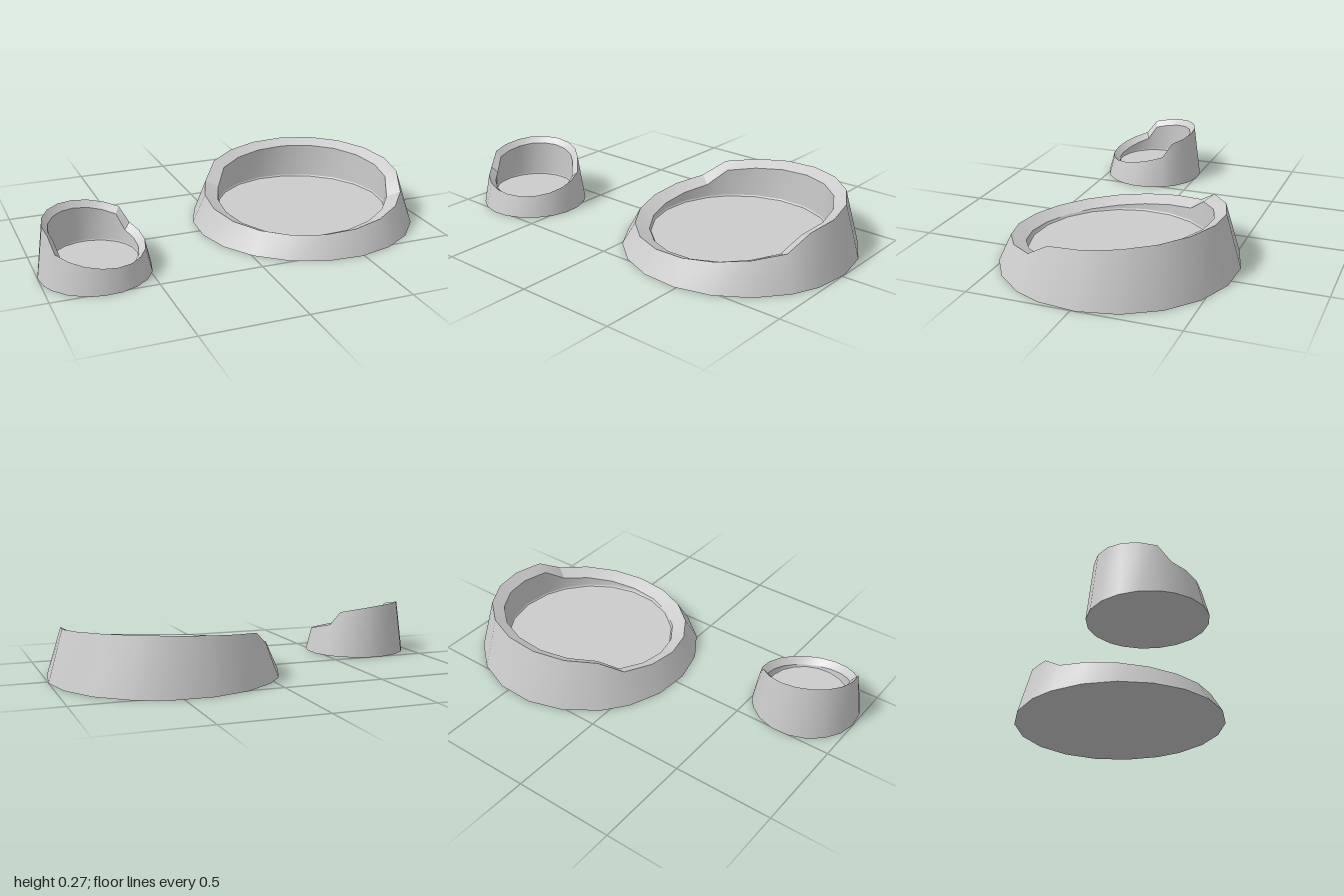
import * as THREE from 'three';
import { toCreasedNormals } from 'three/addons/utils/BufferGeometryUtils.js';

const SIDES = 20;
const rad = THREE.MathUtils.degToRad;

// Side 0 points to the middle of the high rim; the high part spans four sides each way
const isHigh = (k) => Math.abs(k) <= 4;
const angle = (k) => rad(k * (isHigh(k) ? 19 : 18));

// One loop of points; radius and height are functions of the signed side number
function ring(dir, radius, height) {
  return Array.from({ length: SIDES }, (_, i) => {
    const k = i - SIDES / 2;
    const a = dir + angle(k);
    return [Math.cos(a) * radius(k), height(k), -Math.sin(a) * radius(k)];
  });
}

// Closed band of quads between two loops
function band(a, b) {
  const index = [];
  for (let k = 0; k < SIDES; k++) {
    const n = (k + 1) % SIDES;
    index.push(k, n, SIDES + n, k, SIDES + n, SIDES + k);
  }
  const geo = new THREE.BufferGeometry();
  geo.setAttribute('position', new THREE.Float32BufferAttribute([...a, ...b].flat(), 3));
  geo.setIndex(index);
  geo.computeVertexNormals();
  return geo;
}

// Flat cap over a loop, facing up or down
function cap(loop, up) {
  const centre = loop.map(() => [0, loop[0][1], 0]);
  return up ? band(loop, centre) : band(centre, loop);
}

function createBowl(name, size, dirDegrees) {
  const bowl = new THREE.Group();
  bowl.name = name;
  const material = new THREE.MeshStandardMaterial({ color: 0xcccccc });
  const add = (part, geo) => {
    const mesh = new THREE.Mesh(geo, material);
    mesh.name = part;
    bowl.add(mesh);
  };

  // The rim follows a high sloping plane at the back and a low one at the front
  const rimHeight = (k) => {
    const s = Math.cos(angle(k));
    return isHigh(k) ? 0.223 + 0.051 * s : 0.165 + 0.06 * s;
  };
  const loop = (radius, height) => ring(rad(dirDegrees), (k) => size * radius(k), height);

  const foot = loop(() => 1, () => 0);
  const outerRim = loop((k) => (isHigh(k) ? 0.872 : 0.89), rimHeight);
  const innerRim = loop(() => 0.77, (k) => rimHeight(k) - 0.03);
  const wallBottom = loop(() => 0.765, () => 0.072);
  const floorEdge = loop(() => 0.757, () => 0.065);

  add('outerWall', band(foot, outerRim));
  add('rim', toCreasedNormals(band(outerRim, innerRim), 0.35));
  add('innerWall', band(innerRim, wallBottom));
  add('floorChamfer', band(wallBottom, floorEdge));
  add('floor', cap(floorEdge, true));
  add('underside', cap(foot, false));
  return bowl;
}

export function createModel() {
  const model = new THREE.Group();
  model.name = 'bowls';

  // Large bowl dips to its right, small bowl to its left
  const large = createBowl('largeBowl', 0.568, 59.5);
  large.position.set(0.433, 0, 0);
  const small = createBowl('smallBowl', 0.265, 120.5);
  small.position.set(-0.735, 0, 0.257);

  model.add(large, small);
  return model;
}
